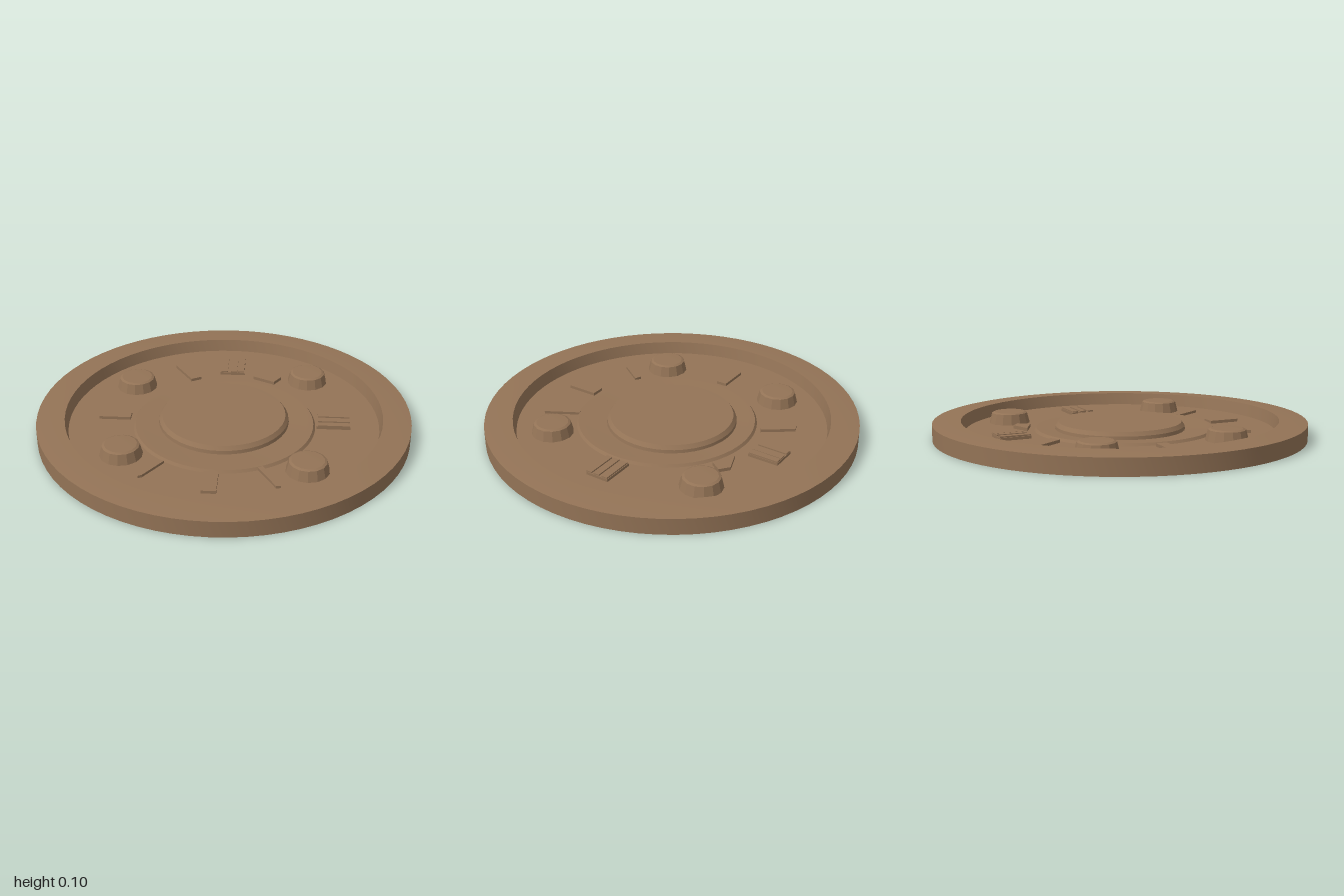
import * as THREE from 'three';
import { toCreasedNormals } from 'three/addons/utils/BufferGeometryUtils.js';

const FLOOR = 0.03;

export function createModel() {
  const model = new THREE.Group();
  model.name = 'roundPlate';
  const brown = new THREE.MeshStandardMaterial({ color: 0x937356 });
  brown.name = 'brown clay';

  const add = (name, geometry, x = 0, y = 0, z = 0) => {
    const mesh = new THREE.Mesh(geometry, brown);
    mesh.name = name;
    mesh.position.set(x, y, z);
    model.add(mesh);
    return mesh;
  };
  // Turned part: profile of [radius, height] from the bottom up
  const turned = (profile, segments = 64) => toCreasedNormals(
    new THREE.LatheGeometry(profile.map(([r, y]) => new THREE.Vector2(r, y)), segments), 0.4);
  // Flat raised plate with an outline of [x, z] corners standing on the floor
  const plate = (name, corners, height) => {
    const shape = new THREE.Shape(corners.map(([x, z]) => new THREE.Vector2(x, -z)));
    const geometry = new THREE.ExtrudeGeometry(shape, { depth: height + 0.005, bevelEnabled: false });
    geometry.rotateX(-Math.PI / 2);
    return add(name, geometry, 0, FLOOR - 0.005, 0);
  };
  const rect = (x, z, w, d) => [
    [x - w / 2, z - d / 2], [x + w / 2, z - d / 2], [x + w / 2, z + d / 2], [x - w / 2, z + d / 2]];

  // Dish with a raised, slightly crowned rim
  add('dish', turned([[0, 0], [1, 0], [1, 0.088], [0.93, 0.094], [0.85, 0.097], [0.835, FLOOR], [0, FLOOR]], 72));

  // Low ring around the centre, set a little forward
  add('lowRing', turned([[0.49, FLOOR - 0.003], [0.477, 0.044], [0.44, 0.043], [0.34, 0.036], [0, 0.036]]), 0.005, 0, 0.03);

  // Central boss
  add('centreBoss', turned([[0.352, FLOOR], [0.348, 0.055], [0.332, 0.076], [0, 0.079]], 40));

  // Four tapered pegs
  for (const [x, z] of [[-0.52, -0.36], [0.45, -0.475], [-0.505, 0.37], [0.45, 0.46]]) {
    add('peg', turned([[0.113, FLOOR - 0.002], [0.098, 0.086], [0.085, 0.092], [0, 0.094]], 14), x, 0, z);
  }

  // Grooved markers: a base plate with raised ribs
  plate('backMarker', rect(0.015, -0.61, 0.14, 0.17), 0.015);
  for (const x of [-0.03, 0.025, 0.065]) plate('backMarkerRib', rect(x, -0.61, 0.036, 0.165), 0.022);
  plate('leftMarker', rect(0.59, -0.01, 0.18, 0.13), 0.015);
  for (const z of [-0.055, -0.005, 0.04]) plate('leftMarkerRib', rect(0.592, z, 0.17, 0.032), 0.022);

  // Plain markers
  plate('rightMarker', rect(-0.59, -0.005, 0.17, 0.06), 0.016);
  plate('frontMarker', rect(-0.03, 0.61, 0.075, 0.17), 0.016);
  plate('backRightMarker', [[-0.32, -0.59], [-0.27, -0.61], [-0.16, -0.46], [-0.215, -0.43]], 0.016);
  plate('arrowMarker', [[0.14, -0.48], [0.25, -0.52], [0.3, -0.48], [0.26, -0.42]], 0.018);
  plate('wedgeMarker', [[-0.39, 0.585], [-0.31, 0.425], [-0.275, 0.44], [-0.37, 0.575]], 0.014);
  plate('stripMarker', [[0.2, 0.47], [0.225, 0.455], [0.32, 0.625], [0.295, 0.63]], 0.014);

  return model;
}
